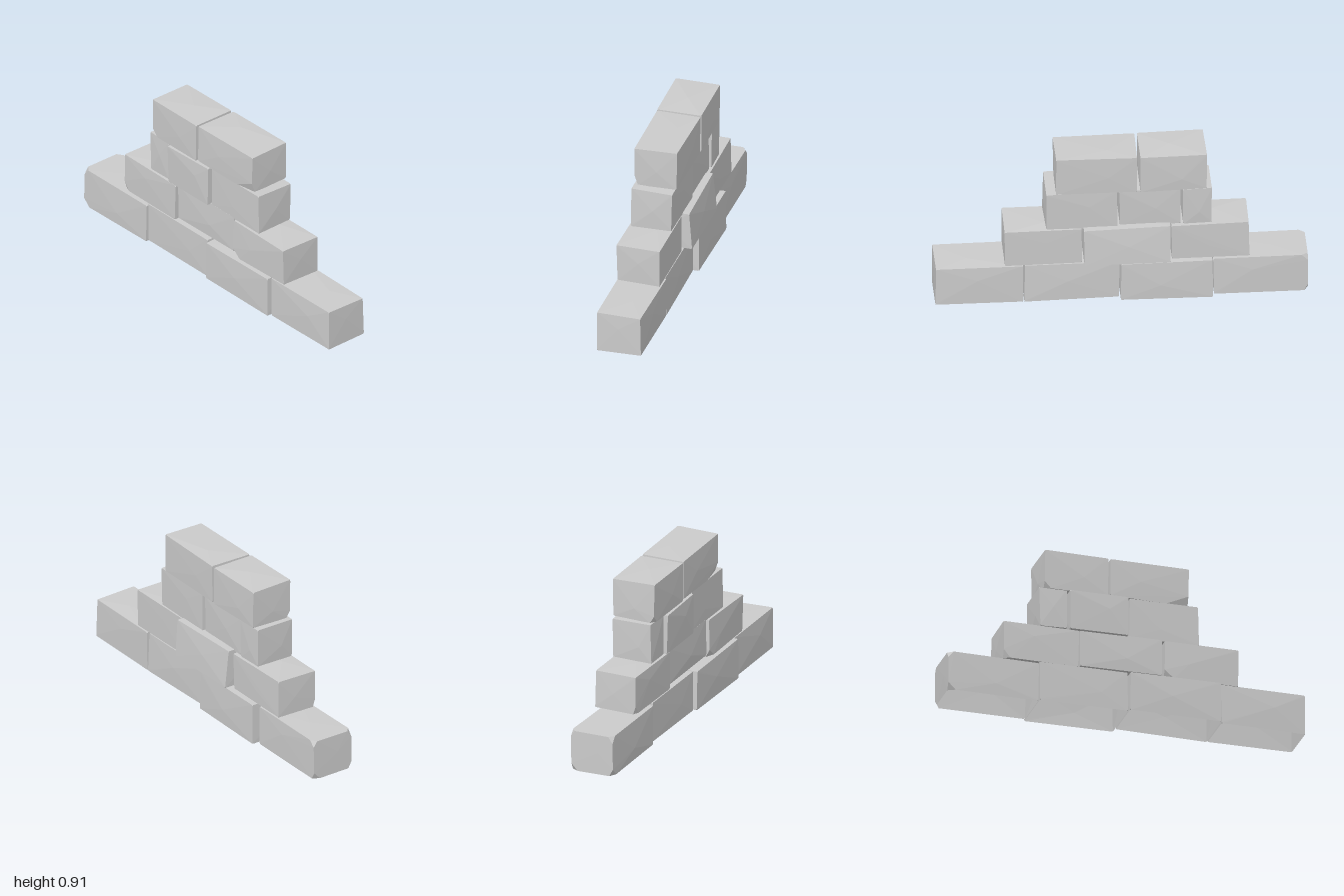
import * as THREE from 'three';
import { ConvexGeometry } from 'three/addons/geometries/ConvexGeometry.js';

const material = new THREE.MeshStandardMaterial({
  color: 0xcccccc, flatShading: true, side: THREE.DoubleSide,
});

function makeRandom(seed) {
  return () => {
    seed = (seed * 16807) % 2147483647;
    return seed / 2147483647;
  };
}

// Each course: height range, joints along x, and the back and front of every stone
const courses = [
  { name: 'bottomStone', y: [0.012, 0.243], joints: [-1, -0.49, 0.01, 0.523, 0.997],
    back: [-0.105, -0.143, -0.112, -0.115], front: [0.145, 0.137, 0.16, 0.138] },
  { name: 'secondRowStone', y: [0.24, 0.459], joints: [-0.687, -0.263, 0.207, 0.627],
    back: [-0.112, -0.165, -0.106], front: [0.132, 0.124, 0.136] },
  { name: 'thirdRowStone', y: [0.458, 0.687], joints: [-0.485, -0.324, 0.013, 0.408],
    back: [-0.11, -0.102, -0.109], front: [0.125, 0.142, 0.12] },
  { name: 'topStone', y: [0.683, 0.908], joints: [-0.46, -0.092, 0.354],
    back: [-0.121, -0.121], front: [0.13, 0.124] },
];

// Remove the underside of a stone that rests on the ground
function openBottom(geometry) {
  const normals = geometry.attributes.normal;
  const position = geometry.attributes.position;
  const kept = [];
  for (let i = 0; i < position.count; i += 3) {
    if (normals.getY(i) > -0.8) {
      for (let k = i; k < i + 3; k++) kept.push(new THREE.Vector3().fromBufferAttribute(position, k));
    }
  }
  const open = new THREE.BufferGeometry().setFromPoints(kept);
  open.computeVertexNormals();
  return open;
}

// A hewn block between two corners; chipAt gives the x, y, z size of the chip at a corner,
// and lean moves the back face forward towards its top
function makeStone(min, max, seed, chipAt, lean) {
  const random = makeRandom(seed * 7919 + 13);
  const points = [];
  // Slightly crooked corners, each with a chip cut off
  for (const sx of [-1, 1]) for (const sy of [-1, 1]) for (const sz of [-1, 1]) {
    const signs = [sx, sy, sz];
    const chip = chipAt(sx, sy, sz);
    const corner = signs.map((s, i) => (s < 0 ? min[i] : max[i]) - s * random() * 0.007);
    for (let i = 0; i < 3; i++) {
      const p = corner.slice();
      p[i] -= signs[i] * chip[i] * (0.6 + 0.6 * random());
      points.push(new THREE.Vector3(...p));
    }
  }
  // A low peak on every side gives the faceted faces
  for (let axis = 0; axis < 3; axis++) for (const bound of [min, max]) {
    const p = min.map((m, i) => THREE.MathUtils.lerp(m, max[i], 0.3 + 0.4 * random()));
    p[axis] = bound[axis];
    points.push(new THREE.Vector3(...p));
  }
  for (const p of points) {
    if (p.z < 0) p.z += lean * (p.y - min[1]) / (max[1] - min[1]);
  }
  return new ConvexGeometry(points);
}

export function createModel() {
  const wall = new THREE.Group();
  wall.name = 'steppedStoneWall';
  let seed = 1;
  courses.forEach(({ name, y, joints, back, front }, row) => {
    back.forEach((z, i) => {
      const overhanging = row === 1 && i === 1;
      const chipAt = (sx, sy, sz) => {
        // Long chip under the front of the last top stone
        if (row === 3 && i === 1 && sx > 0 && sy < 0 && sz > 0) return [0.2, 0.05, 0.02];
        // Worn left end of the bottom course
        if (row === 0 && i === 0 && sx < 0) return [0.035, 0.035, 0.035];
        // Lower front left corners worn on the outer stones
        const worn = (i === 0 && row !== 2) || (row === 1 && i === 2);
        if (worn && sx < 0 && sy < 0 && sz > 0) return [0.045, 0.045, 0.025];
        return [0.006, 0.006, 0.006];
      };
      // Narrow joints; the overhanging stone stands a little higher than its course
      const lift = overhanging ? 0.012 : 0;
      const gap = row > 1 ? 0.004 : 0.001;
      const block = makeStone(
        [joints[i] + (i ? gap : 0), y[0] + lift, z],
        [joints[i + 1] - (i < back.length - 1 ? gap : 0), y[1] + lift, front[i]],
        seed++, chipAt, overhanging ? 0.022 : 0);
      const stone = new THREE.Mesh(row === 0 ? openBottom(block) : block, material);
      // The first stone sits on the ground, a little lower than its neighbours
      if (row === 0 && i === 0) stone.position.y = -0.012;
      stone.name = name + (i + 1);
      wall.add(stone);
    });
  });
  return wall;
}
